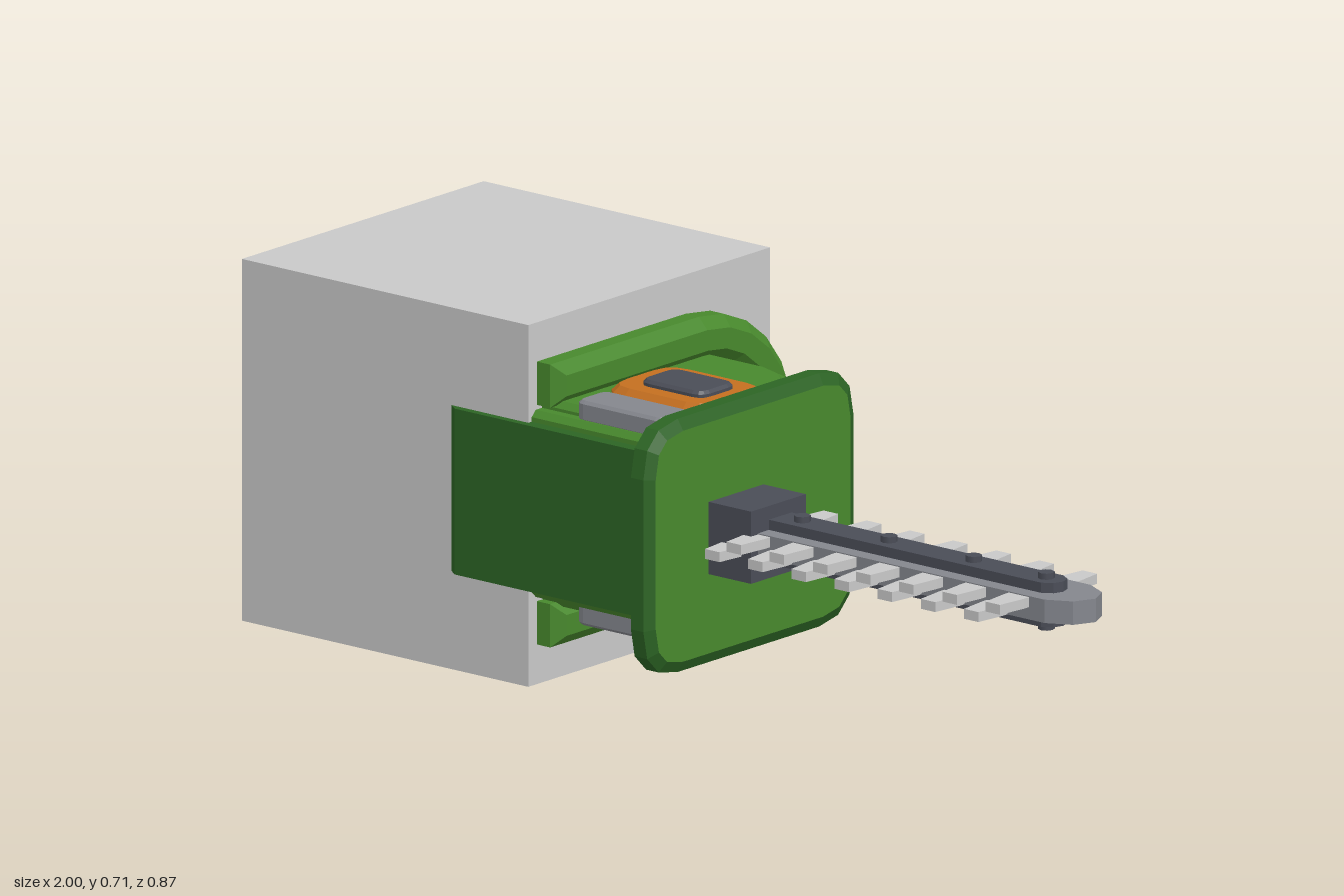
import * as THREE from 'three';

const mat = (name, color) => {
  const m = new THREE.MeshStandardMaterial({ color });
  m.name = name;
  return m;
};

export function createModel() {
  const root = new THREE.Group();
  const lightGreen = mat('light green', 0x48892d);
  const darkGreen = mat('dark green', 0x2c6424);
  const pale = mat('pale grey', 0xc8c8c8);
  const steel = mat('steel grey', 0x84868d);
  const dark = mat('dark grey', 0x4a4d57);
  const orange = mat('orange', 0xc46f20);
  const MID = 0.356; // height of the symmetry plane

  const add = (name, geo, material, parent = root) => {
    const m = new THREE.Mesh(geo, material);
    m.name = name;
    parent.add(m);
    return m;
  };
  const box = (name, x0, x1, y0, y1, z0, z1, material) => {
    const g = new THREE.BoxGeometry(x1 - x0, y1 - y0, z1 - z0);
    g.translate((x0 + x1) / 2, (y0 + y1) / 2, (z0 + z1) / 2);
    return add(name, g, material);
  };
  // Extrusion from 0 to depth whose bevel stays inside the outline
  const extrude = (shape, depth, bevel = 0, thick = bevel, segments = 3) => {
    const g = new THREE.ExtrudeGeometry(shape, {
      depth: depth - 2 * thick, bevelEnabled: bevel > 0, bevelSize: bevel, bevelOffset: -bevel,
      bevelThickness: thick, bevelSegments: 1, curveSegments: segments,
    });
    return g.translate(0, 0, thick);
  };
  // Outline drawn as (x, -z), standing up along y
  const slab = (shape, y0, y1, bevel, thick) =>
    extrude(shape, y1 - y0, bevel, thick).rotateX(-Math.PI / 2).translate(0, y0, 0);
  // Outline drawn as (-z, y), running along x
  const sideways = (shape, x0, x1, bevel, thick, segments) =>
    extrude(shape, x1 - x0, bevel, thick, segments).rotateY(Math.PI / 2).translate(x0, 0, 0);
  const poly = (pts) => new THREE.Shape(pts.map(([x, z]) => new THREE.Vector2(x, -z)));
  const roundRect = (x0, x1, y0, y1, r) => {
    const s = new THREE.Shape();
    s.moveTo(x0 + r, y0);
    s.lineTo(x1 - r, y0);
    s.quadraticCurveTo(x1, y0, x1, y0 + r);
    s.lineTo(x1, y1 - r);
    s.quadraticCurveTo(x1, y1, x1 - r, y1);
    s.lineTo(x0 + r, y1);
    s.quadraticCurveTo(x0, y1, x0, y1 - r);
    s.lineTo(x0, y0 + r);
    s.quadraticCurveTo(x0, y0, x0 + r, y0);
    return s;
  };

  // Arm block
  box('armBlock', -1, -0.29, 0, 0.711, -0.402, 0.305, pale);

  // Motor housing: dark core with stepped light layers above and below
  const housing = (i) => poly([
    [-0.48 + i, 0.305 - i], [-0.46 + i, 0.32 - i], [0.045 - i / 2, 0.32 - i], [0.06 - i / 2, 0.305 - i],
    [0.06 - i / 2, -0.13 + i], [0.02 - i / 2, -0.18 + i], [-0.03 - i / 2, -0.222 + i],
    [-0.085 - i / 2, -0.24 + i], [-0.48 + i, -0.24 + i],
  ]);
  add('housingCore', slab(housing(0), 0.193, 0.519), darkGreen);
  add('housingLayer', slab(housing(0.025), 2 * MID - 0.54, 0.54, 0.012), lightGreen);
  add('housingCrown', slab(housing(0.055), 2 * MID - 0.558, 0.558, 0.012), lightGreen);

  // Pads on the top, repeated underneath
  const pad = (name, x0, x1, z0, z1, y0, y1, r, bevel, material) => {
    const shape = roundRect(x0, x1, -z1, -z0, r);
    add(name + 'Top', slab(shape, y0, y1, bevel), material);
    add(name + 'Bottom', slab(shape, 2 * MID - y1, 2 * MID - y0, bevel), material);
  };
  pad('orangePad', -0.227, 0.037, -0.032, 0.17, 0.535, 0.577, 0.06, 0.014, orange);
  pad('button', -0.17, -0.013, 0.02, 0.124, 0.56, 0.589, 0.025, 0.006, dark);
  pad('ventPlate', -0.195, 0.022, 0.193, 0.28, 0.535, 0.577, 0.02, 0.006, steel);

  // Orange latch on the back
  add('rearLatch', extrude(roundRect(-0.195, -0.092, 0.293, 0.42, 0.01), 0.035, 0.01)
    .translate(0, 0, -0.256), orange);

  // U-shaped handle around the back
  const u = new THREE.Shape();
  const R = 0.278, r = 0.193;
  u.moveTo(-0.28, MID - R);
  u.lineTo(0.155, MID - R);
  u.absarc(0.155, MID, R, -Math.PI / 2, Math.PI / 2, false);
  u.lineTo(-0.28, MID + R);
  u.lineTo(-0.28, MID + r);
  u.lineTo(0.155, MID + r);
  u.absarc(0.155, MID, r, Math.PI / 2, -Math.PI / 2, true);
  u.lineTo(-0.28, MID - r);
  add('handle', sideways(u, -0.315, -0.235, 0.022, 0.022, 6), lightGreen);

  // Guard plate with a dark rim
  add('guardPlate', sideways(roundRect(-0.432, 0.182, 0.107, 0.605, 0.1), 0.06, 0.115, 0.022, 0.012),
    [lightGreen, darkGreen]);

  // Blade mount, bar and rail
  box('bladeMount', 0.11, 0.22, 0.285, 0.427, 0.095, 0.255, dark);
  add('bladeBar', slab(poly([
    [0.2, 0.235], [0.93, 0.235], [0.98, 0.21], [1, 0.167], [0.98, 0.125], [0.93, 0.1], [0.2, 0.1],
  ]), 0.334, 0.38), steel);
  add('bladeRail', slab(poly([
    [0.2, 0.203], [0.895, 0.203], [0.915, 0.19], [0.922, 0.17], [0.915, 0.15], [0.895, 0.137], [0.2, 0.137],
  ]), 0.313, 0.4), dark);
  for (const x of [0.275, 0.49, 0.7, 0.88]) {
    add('railBolt', new THREE.CylinderGeometry(0.016, 0.016, 0.112, 8).toNonIndexed()
      .translate(x, MID, 0.17), dark);
  }

  // Cutting teeth: double-ended, alternating between two layers
  const tooth = poly([
    [-0.018, 0.312], [0.018, 0.312], [0.025, 0.25], [0.025, 0.085],
    [0.018, 0.028], [-0.018, 0.028], [-0.025, 0.085], [-0.025, 0.25],
  ]);
  for (let i = 0; i < 14; i++) {
    const y = i % 2 ? 0.3585 : 0.3345;
    add('tooth', slab(tooth, y, y + 0.0195).translate(0.172 + i * 0.0535, 0, 0), pale);
  }

  return root;
}
